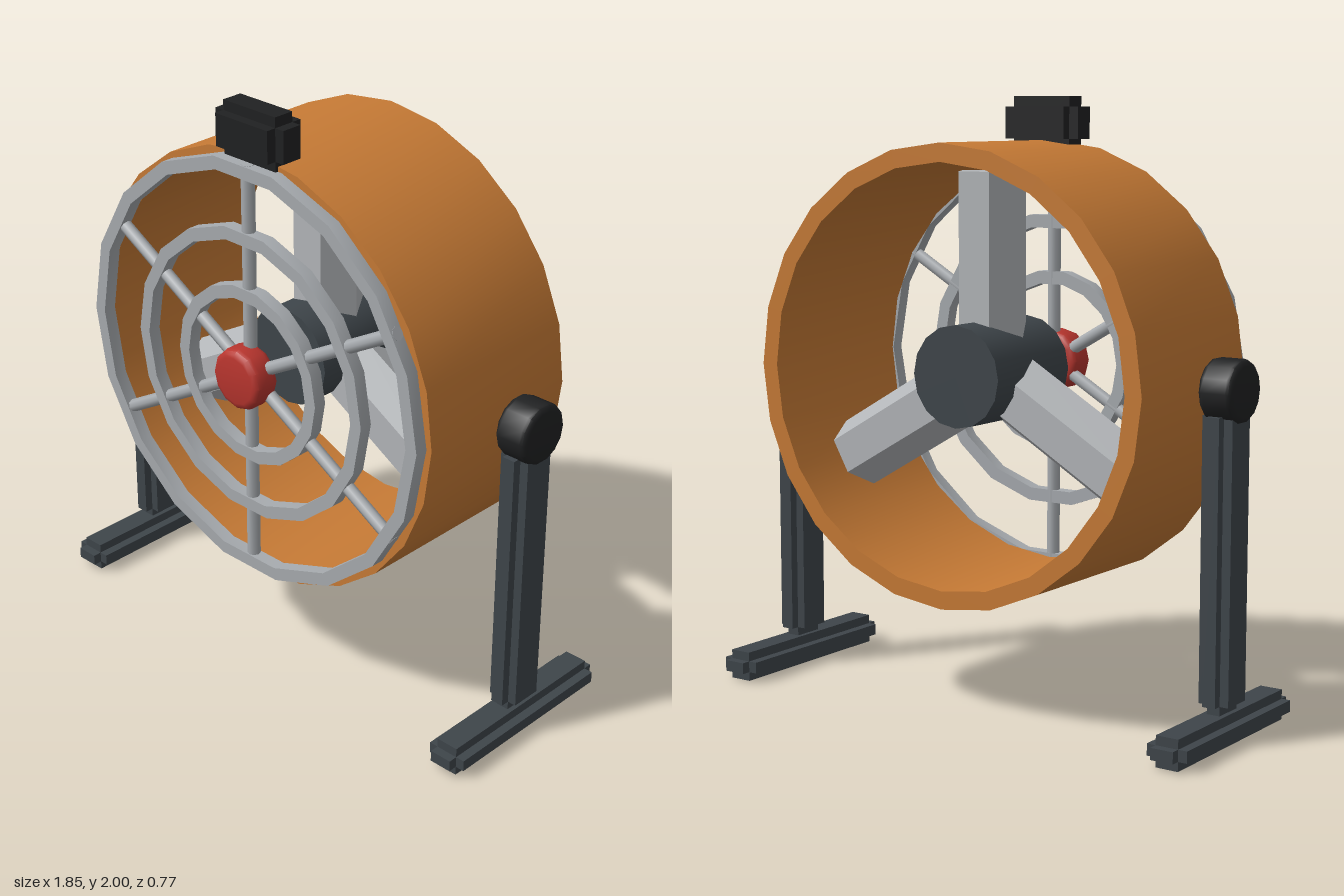
import * as THREE from 'three';
import { toCreasedNormals, mergeGeometries } from 'three/addons/utils/BufferGeometryUtils.js';

const material = (name, color) => new THREE.MeshStandardMaterial({ name, color });

const AXIS_Y = 1.11; // height of the fan axis
const PIVOT_Z = -0.022;

// Revolved profile of [radius, height] points, running up the outside
function revolve(points, sides, phiStart = 0) {
  const profile = points.map(([r, h]) => new THREE.Vector2(r, h));
  return toCreasedNormals(new THREE.LatheGeometry(profile, sides, phiStart), 0.6);
}

// Open ring with rectangular section, its axis along z
function ring(inner, outer, z0, z1, sides) {
  const points = [[outer, z0], [outer, z1], [inner, z1], [inner, z0], [outer, z0]];
  return revolve(points, sides, Math.PI / 2).rotateX(Math.PI / 2);
}

// Solid disc with rounded rims, centred, its axis along y
function roundedDisc(radius, height, bevel, sides) {
  const points = [[0, -height / 2]];
  for (const end of [-1, 1]) {
    for (let i = 0; i <= 3; i++) {
      const a = ((end < 0 ? 3 - i : i) * Math.PI) / 6;
      points.push([radius - bevel + bevel * Math.cos(a), end * (height / 2 - bevel + bevel * Math.sin(a))]);
    }
  }
  points.push([0, height / 2]);
  return revolve(points, sides);
}

// Box with stepped edges: three crossing boxes, each full size along one axis
function steppedBox(w, h, d, inset) {
  const s = inset * 2;
  return mergeGeometries([
    new THREE.BoxGeometry(w, h - s, d - s),
    new THREE.BoxGeometry(w - s, h, d - s),
    new THREE.BoxGeometry(w - s, h - s, d),
  ]);
}

export function createModel() {
  const orange = material('orange housing', 0xc67a35);
  const grey = material('grille grey', 0xa6aaae);
  const pale = material('blade grey', 0xb2b5b8);
  const slate = material('slate frame', 0x3e454a);
  const black = material('black fittings', 0x202122);
  const red = material('red cap', 0xb8352e);

  const model = new THREE.Group();
  model.name = 'drumFan';
  const add = (parent, name, geometry, mat, x = 0, y = 0, z = 0) => {
    const mesh = new THREE.Mesh(geometry, mat);
    mesh.name = name;
    mesh.position.set(x, y, z);
    parent.add(mesh);
    return mesh;
  };

  // Everything centred on the fan axis
  const fan = new THREE.Group();
  fan.name = 'fan';
  fan.position.y = AXIS_Y;
  model.add(fan);

  add(fan, 'drumHousing', ring(0.685, 0.745, -0.335, 0.29, 24), orange);

  // Hub and three six-sided blades
  add(fan, 'hub', revolve([[0, -0.2], [0.167, -0.2], [0.167, 0.2], [0, 0.2]], 16).rotateX(Math.PI / 2),
    slate, 0, 0, -0.055);
  for (let i = 0; i < 3; i++) {
    const blade = new THREE.CylinderGeometry(0.12, 0.12, 0.55, 6).toNonIndexed();
    blade.rotateY(Math.PI / 6).translate(0, 0.375, 0);
    blade.computeVertexNormals();
    add(fan, 'blade', blade, pale, 0, 0, -0.05).rotation.z = (i * Math.PI * 2) / 3;
  }

  // Front guard: concentric rings, six spokes and a centre cap
  const grille = new THREE.Group();
  grille.name = 'grille';
  fan.add(grille);
  for (const r of [0.703, 0.478, 0.285]) {
    add(grille, 'grilleRing', ring(r - 0.022, r + 0.022, 0.29, 0.335, 18), grey);
  }
  for (let i = 0; i < 6; i++) {
    const spoke = new THREE.CylinderGeometry(0.022, 0.022, 0.7, 8).translate(0, 0.365, 0);
    add(grille, 'grilleSpoke', spoke, grey, 0, 0, 0.31).rotation.z = (i * Math.PI) / 3;
  }
  add(grille, 'centreCap', roundedDisc(0.104, 0.1, 0.025, 12).rotateX(Math.PI / 2), red, 0, 0, 0.335);

  // Control box on top of the housing
  add(model, 'controlBox', steppedBox(0.29, 0.175, 0.14, 0.034), black, 0, 1.9125, 0.265);

  // Stand: foot, post and pivot knob on each side
  for (const side of [-1, 1]) {
    const stand = new THREE.Group();
    stand.name = side > 0 ? 'leftStand' : 'rightStand';
    stand.position.set(side * 0.856, 0, PIVOT_Z);
    model.add(stand);
    add(stand, 'foot', steppedBox(0.14, 0.1, 0.72, 0.031), slate, 0, 0.05, -0.003);
    add(stand, 'post', steppedBox(0.105, 0.965, 0.168, 0.03), slate, 0, 0.5825, 0);
    add(stand, 'pivotKnob', roundedDisc(0.1, 0.118, 0.02, 14).rotateZ(-Math.PI / 2), black,
      side * 0.01, AXIS_Y, 0);
  }
  return model;
}
